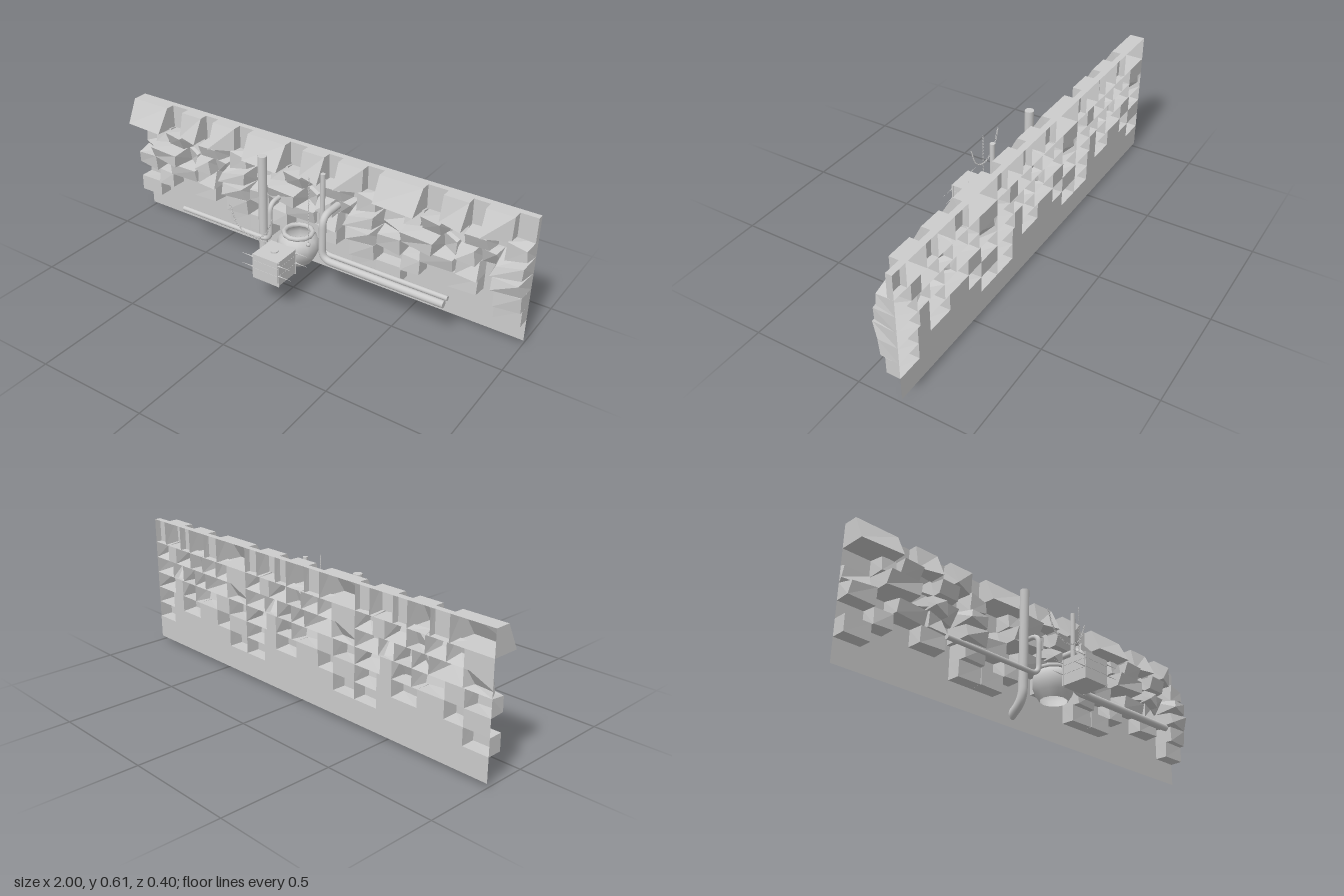
import * as THREE from 'three';
import { mergeGeometries } from 'three/addons/utils/BufferGeometryUtils.js';

const flat = new THREE.MeshStandardMaterial({ color: 0xcccccc, flatShading: true, side: THREE.DoubleSide });
const smooth = new THREE.MeshStandardMaterial({ color: 0xcccccc, side: THREE.DoubleSide });

function add(parent, name, geometry, x = 0, y = 0, z = 0, material = flat) {
  const mesh = new THREE.Mesh(geometry, material);
  mesh.name = name;
  mesh.position.set(x, y, z);
  parent.add(mesh);
  return mesh;
}

function seeded(seed) {
  return () => (seed = (seed * 16807) % 2147483647) / 2147483647;
}

// Rock wall: each row is [bottom, top, roughness, cells], a cell is [width, depth]; depth 0 stays flat.
// One tile is 2/3 wide and is repeated three times.
const BACK = -0.2;
const TILE = 2 / 3;
const ROWS = [
  [0.5, 0.61, 0.3, [[0.2, 0.07], [0.09, 0.028], [0.11, 0.07], [0.07, 0.03], [0.12, 0.07], [0.0767, 0.028]]],
  [0.425, 0.5, 0.8, [[0.13, 0], [0.08, 0.06], [0.1, 0.1], [0.09, 0.05], [0.11, 0.09], [0.06, 0], [0.0967, 0.08]]],
  [0.35, 0.425, 1, [[0.13, 0.03], [0.16, 0.12], [0.08, 0.05], [0.09, 0.1], [0.08, 0.04], [0.1267, 0.12]]],
  [0.275, 0.35, 0.7, [[0.12, 0.07], [0.09, 0], [0.16, 0.08], [0.1, 0.06], [0.06, 0], [0.1367, 0.1]]],
  [0.2, 0.275, 0.3, [[0.12, 0], [0.09, 0.07], [0.13, 0], [0.13, 0.065], [0.0767, 0], [0.12, 0.09]]],
  [0.125, 0.2, 0.05, [[0.12, 0.064], [0.4267, 0], [0.12, 0.062]]],
];

function wallGeometry() {
  const pos = [];
  const quad = (a, b, c, d) => pos.push(...a, ...b, ...c, ...a, ...c, ...d);
  const rect = (x0, x1, y0, y1) => [[x0, y0, BACK], [x1, y0, BACK], [x1, y1, BACK], [x0, y1, BACK]];
  quad(...rect(-1, 1, 0.02, 0.125));
  for (let tile = 0; tile < 3; tile++) {
    ROWS.forEach(([y0, y1, rough, cells], row) => {
      const rnd = seeded(91 + row * 977);
      let x = -1 + tile * TILE;
      cells.forEach(([w, depth]) => {
        const back = rect(x, x + w, y0, y1);
        x += w;
        if (!depth) return quad(...back);
        const front = back.map(([px, py], i) => {
          const inX = (i === 0 || i === 3 ? 1 : -1) * w * 0.15 * rnd() * rough;
          const inY = (i < 2 ? 1 : -1) * 0.03 * (rnd() - 0.3) * rough;
          const jut = rnd();
          // the deep blocks of the top row lean outward at the bottom
          if (row === 0) return [px + (i < 2 ? inX : 0), py, BACK + depth + (i < 2 && depth > 0.05 ? 0.07 * jut : 0)];
          return [px + inX, py + inY, BACK + depth + (jut - 0.5) * 0.06 * rough];
        });
        quad(...front);
        for (let i = 0; i < 4; i++) {
          const j = (i + 1) % 4;
          quad(back[i], back[j], front[j], front[i]);
        }
      });
    });
  }
  const g = new THREE.BufferGeometry();
  g.setAttribute('position', new THREE.Float32BufferAttribute(pos, 3));
  g.computeVertexNormals();
  return g;
}

// Pipe along straight runs with rounded corners and capped ends; the end is cut off flat at cutZ.
function pipe(parent, name, points, radius, bend, cutZ = BACK) {
  const p = points.map((a) => new THREE.Vector3(...a));
  const path = new THREE.CurvePath();
  let from = p[0];
  for (let i = 1; i < p.length - 1; i++) {
    const before = p[i].clone().add(p[i - 1].clone().sub(p[i]).setLength(bend));
    const after = p[i].clone().add(p[i + 1].clone().sub(p[i]).setLength(bend));
    path.add(new THREE.LineCurve3(from, before));
    path.add(new THREE.QuadraticBezierCurve3(before, p[i], after));
    from = after;
  }
  path.add(new THREE.LineCurve3(from, p[p.length - 1]));
  const parts = [new THREE.TubeGeometry(path, 80, radius, 14)];
  for (const t of [0, 1]) {
    const dir = path.getTangentAt(t).multiplyScalar(t ? 1 : -1);
    const turn = new THREE.Quaternion().setFromUnitVectors(new THREE.Vector3(0, 0, 1), dir);
    const c = path.getPointAt(t);
    parts.push(new THREE.CircleGeometry(radius, 14).applyQuaternion(turn).translate(c.x, c.y, c.z));
  }
  const g = mergeGeometries(parts);
  const pos = g.attributes.position;
  const end = path.getTangentAt(1);
  for (let i = 0; i < pos.count; i++) {
    const over = cutZ - pos.getZ(i);
    if (over > 0) pos.setXYZ(i, pos.getX(i), pos.getY(i) + (over * end.y) / end.z, cutZ);
  }
  add(parent, name, g, 0, 0, 0, smooth);
}

// Chain of oval links, each turned a quarter against the last.
function chain(parent, name, curve, count, size) {
  const links = [];
  const up = new THREE.Vector3(0, 1, 0);
  for (let i = 0; i < count; i++) {
    const t = (i + 0.5) / count;
    const g = new THREE.TorusGeometry(size, size * 0.3, 5, 8);
    g.scale(0.75, 1.35, 1);
    g.rotateY((i % 2) * Math.PI / 2);
    g.applyQuaternion(new THREE.Quaternion().setFromUnitVectors(up, curve.getTangentAt(t)));
    const c = curve.getPointAt(t);
    links.push(g.translate(c.x, c.y, c.z));
  }
  add(parent, name, mergeGeometries(links), 0, 0, 0, smooth);
}

export function createModel() {
  const model = new THREE.Group();
  model.name = 'rockWallWithCauldron';
  add(model, 'rockWall', wallGeometry());

  // Cauldron with a thick rim and an open mouth
  const cauldron = new THREE.Group();
  cauldron.name = 'cauldron';
  cauldron.position.set(-0.005, 0, -0.045);
  model.add(cauldron);
  const profile = [[0.06, 0.123], [0.081, 0.155], [0.092, 0.185], [0.094, 0.215], [0.085, 0.24], [0.07, 0.253], [0.06, 0.262]];
  add(cauldron, 'pot', new THREE.LatheGeometry(profile.map((a) => new THREE.Vector2(...a)), 12), 0, 0, 0, smooth);
  add(cauldron, 'rim', new THREE.TorusGeometry(0.063, 0.011, 8, 12).rotateX(Math.PI / 2), 0, 0.264, 0, smooth);
  add(cauldron, 'chainEye', new THREE.SphereGeometry(0.01, 8, 6), 0.094, 0.264, 0.062, smooth);

  // Pipes on both sides
  pipe(model, 'drainPipe', [[-0.19, 0.58, -0.04], [-0.19, 0.073, -0.04], [-0.19, 0.003, -0.13]], 0.02, 0.05, -0.1);
  pipe(model, 'leftPipe', [[-0.625, 0.195, -0.01], [-0.13, 0.195, -0.01], [-0.13, 0.38, -0.01], [-0.13, 0.38, -0.12]], 0.011, 0.045);
  pipe(model, 'rightWidePipe', [[0.72, 0.195, -0.013], [0.14, 0.195, -0.013], [0.14, 0.405, -0.013], [0.14, 0.405, -0.13]], 0.016, 0.05);
  pipe(model, 'rightTallPipe', [[0.72, 0.205, -0.045], [0.117, 0.205, -0.045], [0.117, 0.585, -0.045]], 0.011, 0.05);

  // Hanging chains
  const v = (x, y, z) => new THREE.Vector3(x, y, z);
  chain(model, 'straightChain', new THREE.LineCurve3(v(0.089, 0.27, 0.017), v(0.089, 0.585, 0.017)), 44, 0.003);
  const sag = new THREE.CatmullRomCurve3([v(-0.23, 0.412, 0.14), v(-0.19, 0.33, 0.14), v(-0.115, 0.294, 0.14), v(-0.045, 0.33, 0.14), v(-0.01, 0.412, 0.14)]);
  chain(model, 'saggingChain', sag, 36, 0.0045);

  // Crate with planks, corner posts, spikes and a lid knob
  const crate = new THREE.Group();
  crate.name = 'crate';
  crate.position.set(-0.005, 0, 0.133);
  model.add(crate);
  for (const [y0, y1] of [[0.139, 0.188], [0.189, 0.227], [0.228, 0.256]]) {
    add(crate, 'plankBand', new THREE.BoxGeometry(0.13, y1 - y0, 0.134), 0, (y0 + y1) / 2, 0);
  }
  add(crate, 'lidKnob', new THREE.CylinderGeometry(0.017, 0.017, 0.006, 12), 0, 0.259, 0);
  for (const sx of [-1, 1]) {
    for (const sz of [-1, 1]) {
      add(crate, 'cornerPost', new THREE.BoxGeometry(0.008, 0.118, 0.006), sx * 0.064, 0.195, sz * 0.061);
      for (const y of [0.19, 0.24]) {
        add(crate, 'bolt', new THREE.CylinderGeometry(0.004, 0.004, 0.008, 6).rotateZ(Math.PI / 2), sx * 0.069, y, sz * 0.062);
        const spike = new THREE.ConeGeometry(0.0025, 0.07, 6).rotateZ(-sx * Math.PI / 2);
        add(crate, 'spike', spike, sx * 0.1, y, sz * 0.062);
      }
    }
  }
  return model;
}
